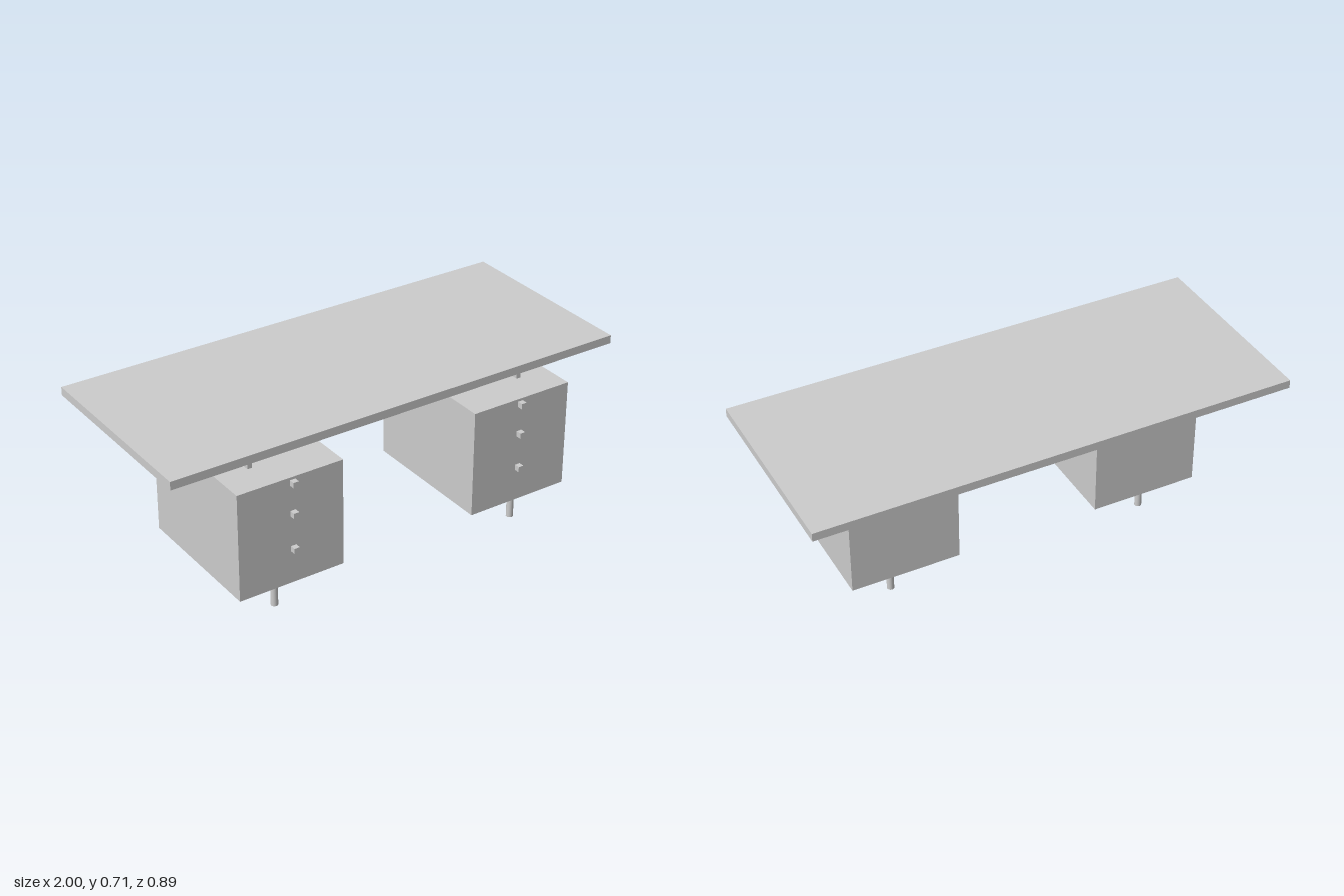
import * as THREE from 'three';

const material = new THREE.MeshStandardMaterial({ color: 0xcccccc });

function addMesh(parent, name, geometry, x, y, z) {
  const mesh = new THREE.Mesh(geometry, material);
  mesh.name = name;
  mesh.position.set(x, y, z);
  parent.add(mesh);
}

// Box given by its centre x, width and its y and z ranges
function addBox(parent, name, x, width, [y0, y1], [z0, z1]) {
  const geometry = new THREE.BoxGeometry(width, y1 - y0, z1 - z0);
  addMesh(parent, name, geometry, x, (y0 + y1) / 2, (z0 + z1) / 2);
}

// Drawer cabinet with its knobs, legs and the panel carrying the top
function createPedestal(side) {
  const pedestal = new THREE.Group();
  pedestal.name = side > 0 ? 'leftPedestal' : 'rightPedestal';
  pedestal.position.x = -0.001;

  addBox(pedestal, 'cabinet', side * 0.53, 0.455, [0.134, 0.589], [-0.18, 0.424]);
  addBox(pedestal, 'topSupport', side * 0.619, 0.02, [0.589, 0.674], [-0.131, 0.288]);

  for (const y of [0.284, 0.436, 0.567]) {
    addBox(pedestal, 'drawerKnob', side * 0.522, 0.023, [y - 0.0115, y + 0.0115], [0.424, 0.448]);
  }
  for (const z of [0.343, -0.089]) {
    addMesh(pedestal, 'leg', new THREE.CylinderGeometry(0.0145, 0.0145, 0.134, 32), side * 0.561, 0.067, z);
  }
  return pedestal;
}

export function createModel() {
  const desk = new THREE.Group();
  desk.name = 'desk';
  addBox(desk, 'deskTop', 0, 2, [0.674, 0.709], [-0.447, 0.384]);
  for (const side of [-1, 1]) desk.add(createPedestal(side));
  return desk;
}
